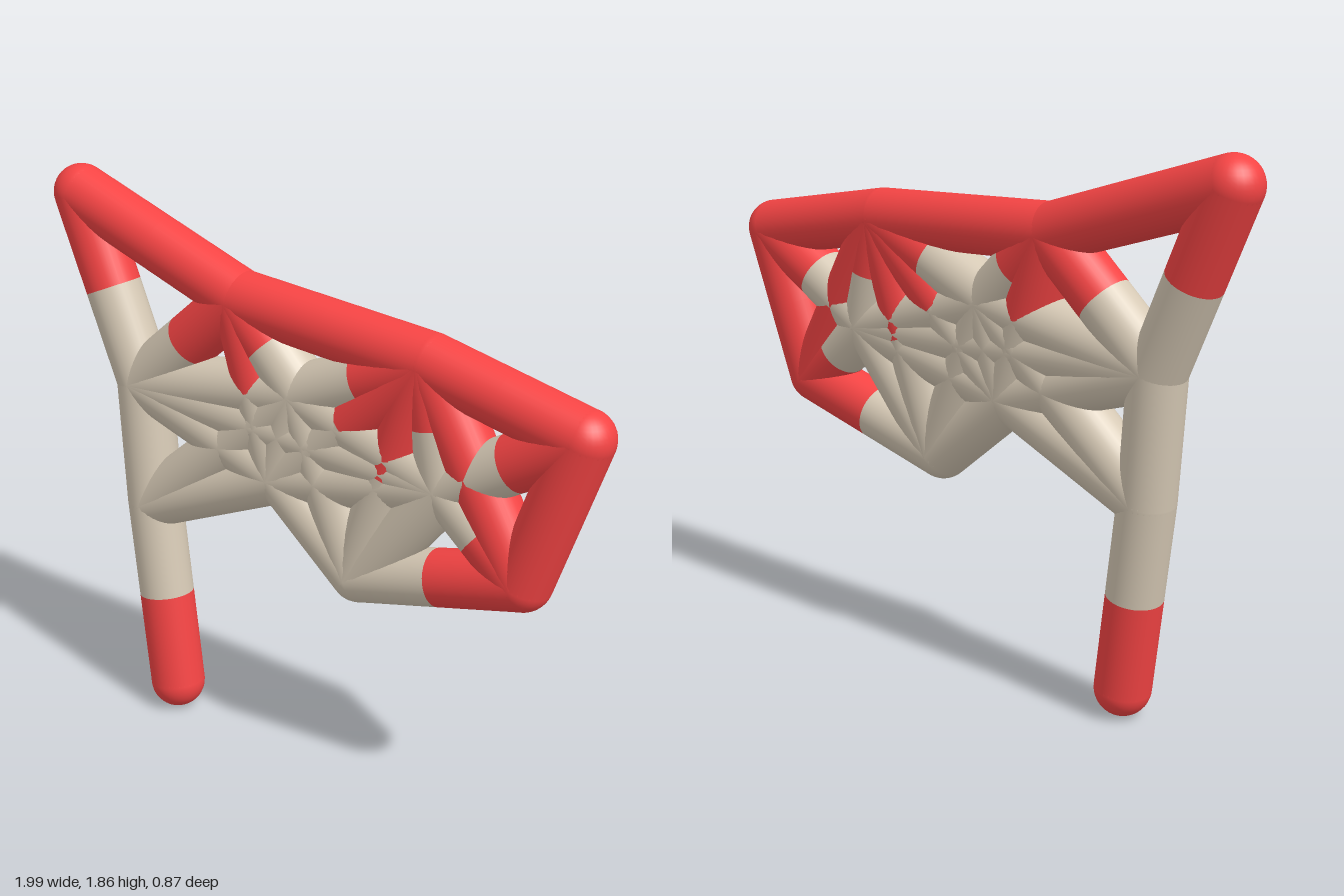
import * as THREE from 'three';

const R = 0.093;
const red = new THREE.MeshStandardMaterial({ color: 0xf54444 });
const tan = new THREE.MeshStandardMaterial({ color: 0xd6c9b5 });

// All joints lie in one slightly tilted plane
const at = (x, y) => new THREE.Vector3(x, y, 0.37 * x - 0.047 * y + 0.074);

const joints = {
  topLeft: [at(-0.907, 1.772), red],
  topInner: [at(-0.28, 1.545), red],
  topMiddle: [at(0.4, 1.495), red],
  topRight: [at(0.9, 1.385), red],
  lowRight: [at(0.733, 0.882), red],
  foot: [at(-0.545, 0.1), red],
  lowMiddle: [at(0.17, 0.732), tan],
  lowLeft: [at(-0.63, 0.755), tan],
  sideLeft: [at(-0.665, 1.18), tan],
  hubUpper: [at(-0.045, 1.29), tan],
  hubLower: [at(-0.12, 0.99), tan],
  hubRight: [at(0.47, 1.12), tan],
};

const links = [
  // outer frame
  ['topLeft', 'topInner'], ['topInner', 'topMiddle'], ['topMiddle', 'topRight'],
  ['topRight', 'lowRight'], ['lowRight', 'lowMiddle'], ['topLeft', 'sideLeft'],
  ['sideLeft', 'lowLeft'], ['lowLeft', 'foot'],
  // left web
  ['sideLeft', 'topInner'], ['sideLeft', 'hubUpper'], ['sideLeft', 'hubLower'],
  ['sideLeft', 'hubRight'], ['lowLeft', 'hubLower'], ['lowLeft', 'hubUpper'],
  ['topInner', 'hubUpper'], ['topInner', 'hubLower'],
  // right web
  ['topMiddle', 'hubUpper'], ['topMiddle', 'hubLower'], ['topMiddle', 'hubRight'],
  ['topMiddle', 'lowMiddle'], ['topMiddle', 'lowRight'],
  ['topRight', 'hubRight'], ['lowRight', 'hubRight'],
  // middle web
  ['hubUpper', 'hubLower'], ['hubUpper', 'hubRight'], ['hubLower', 'hubRight'],
  ['lowMiddle', 'hubUpper'], ['lowMiddle', 'hubLower'], ['lowMiddle', 'hubRight'],
];

// Open round rod between two points
function rod(name, a, b, material) {
  const dir = b.clone().sub(a);
  const mesh = new THREE.Mesh(new THREE.CylinderGeometry(R, R, dir.length(), 32, 1, true), material);
  mesh.position.copy(a).add(b).multiplyScalar(0.5);
  mesh.quaternion.setFromUnitVectors(new THREE.Vector3(0, 1, 0), dir.normalize());
  mesh.name = name;
  return mesh;
}

export function createModel() {
  const model = new THREE.Group();
  model.name = 'rodFrame';

  // Rounded joints
  for (const [name, [p, material]] of Object.entries(joints)) {
    const ball = new THREE.Mesh(new THREE.SphereGeometry(R, 32, 20), material);
    ball.position.copy(p);
    ball.name = name + 'Joint';
    model.add(ball);
  }

  // Rods, each half coloured like its nearer joint
  for (const [from, to] of links) {
    const [a, matA] = joints[from];
    const [b, matB] = joints[to];
    const mid = a.clone().lerp(b, 0.5);
    const link = new THREE.Group();
    link.name = `${from}To${to[0].toUpperCase()}${to.slice(1)}Rod`;
    link.add(rod('firstHalf', a, mid, matA), rod('secondHalf', mid, b, matB));
    model.add(link);
  }
  return model;
}
